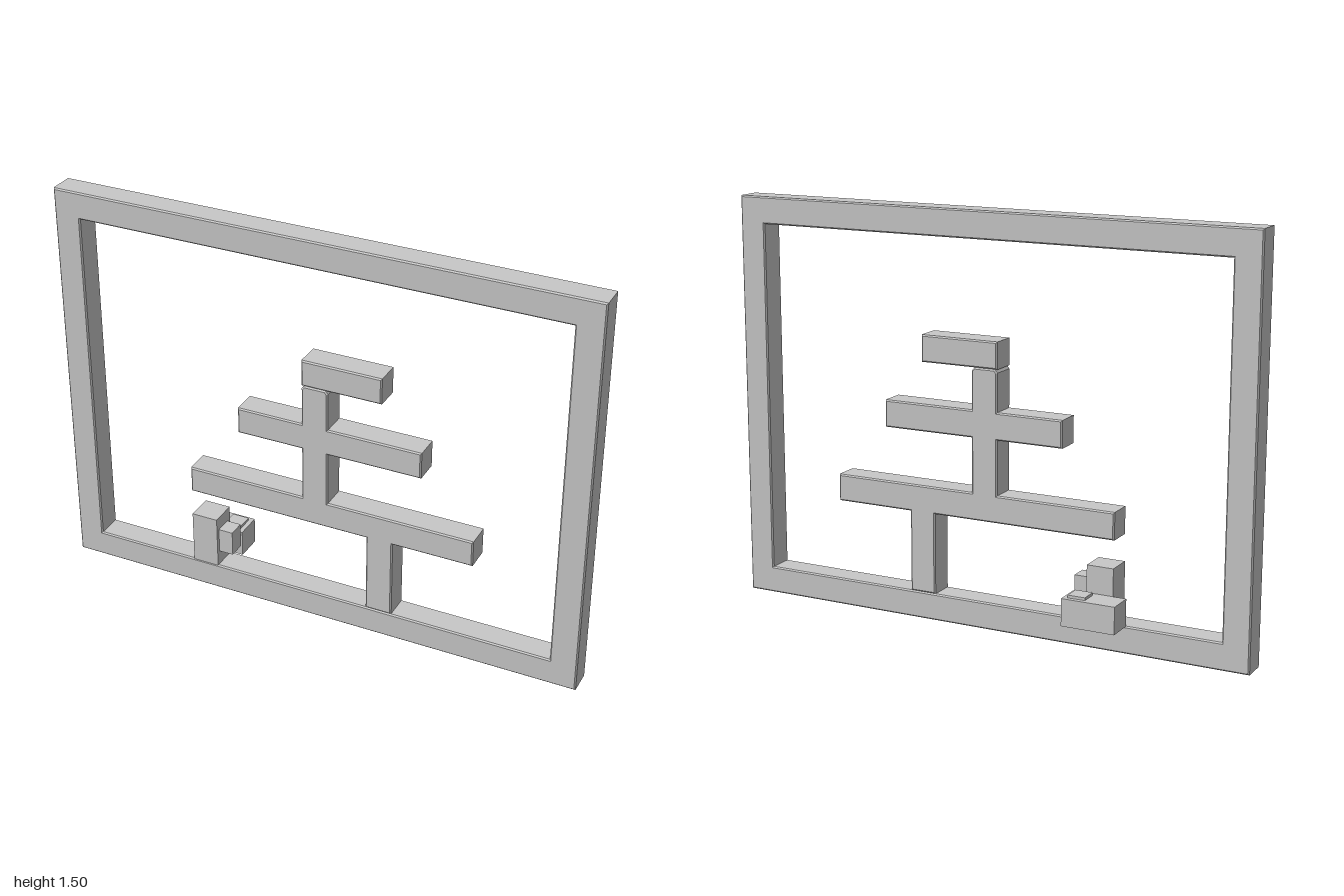
import * as THREE from 'three';

const DEPTH = 0.1;
const BEVEL = 0.005;

export function createModel() {
  const group = new THREE.Group();
  const grey = new THREE.MeshStandardMaterial({ color: 0xc8c8c8 });
  grey.name = 'light grey';

  const add = (name, geometry) => {
    const mesh = new THREE.Mesh(geometry, grey);
    mesh.name = name;
    group.add(mesh);
    return mesh;
  };

  const polygon = (points) => points.map(([x, y]) => new THREE.Vector2(x, y));

  // Flat outline pushed from z = 0 to z = DEPTH with small chamfered edges
  const slab = (name, shape) => {
    const geometry = new THREE.ExtrudeGeometry(shape, {
      depth: DEPTH - 2 * BEVEL,
      bevelThickness: BEVEL,
      bevelSize: BEVEL,
      bevelOffset: -BEVEL,
      bevelSegments: 1,
    });
    geometry.translate(0, 0, BEVEL);
    add(name, geometry);
  };

  // Box given by its minimum and maximum corners
  const box = (name, min, max) => {
    const geometry = new THREE.BoxGeometry(...max.map((v, i) => v - min[i]));
    add(name, geometry).position.set(...max.map((v, i) => (v + min[i]) / 2));
  };

  // Outer rectangular frame
  const frame = new THREE.Shape(polygon([[-1, 0], [1, 0], [1, 1.5], [-1, 1.5]]));
  frame.holes.push(new THREE.Path(polygon([[-0.9, 0.1], [-0.9, 1.4], [0.9, 1.4], [0.9, 0.1]])));
  slab('frame', frame);

  // Leg, lower branch, trunk and middle branch in one outline
  slab('tree', new THREE.Shape(polygon([
    [0.2, 0.1], [0.3, 0.1], [0.3, 0.4], [0.6, 0.4], [0.6, 0.5], [0.05, 0.5],
    [0.05, 0.7], [0.4, 0.7], [0.4, 0.8], [0.05, 0.8], [0.05, 0.94], [0.04, 0.952],
    [-0.04, 0.952], [-0.05, 0.94], [-0.05, 0.8], [-0.3, 0.8], [-0.3, 0.7],
    [-0.05, 0.7], [-0.05, 0.5], [-0.5, 0.5], [-0.5, 0.4], [0.2, 0.4],
  ])));
  slab('topBranch', new THREE.Shape(polygon([
    [-0.05, 0.952], [0.25, 0.952], [0.25, 1.05], [-0.05, 1.05],
  ])));

  // Upright block on the sill with a small block on its side
  box('uprightBlock', [-0.5, 0.1, 0], [-0.4, 0.3, DEPTH]);
  box('sideBlock', [-0.4, 0.155, 0.02], [-0.345, 0.25, 0.085]);

  // Low block behind the sill with a raised pad
  box('backBlock', [-0.55, 0.1, -0.1], [-0.35, 0.2, 0]);
  box('backPad', [-0.432, 0.2, -0.083], [-0.367, 0.21, -0.018]);

  return group;
}
